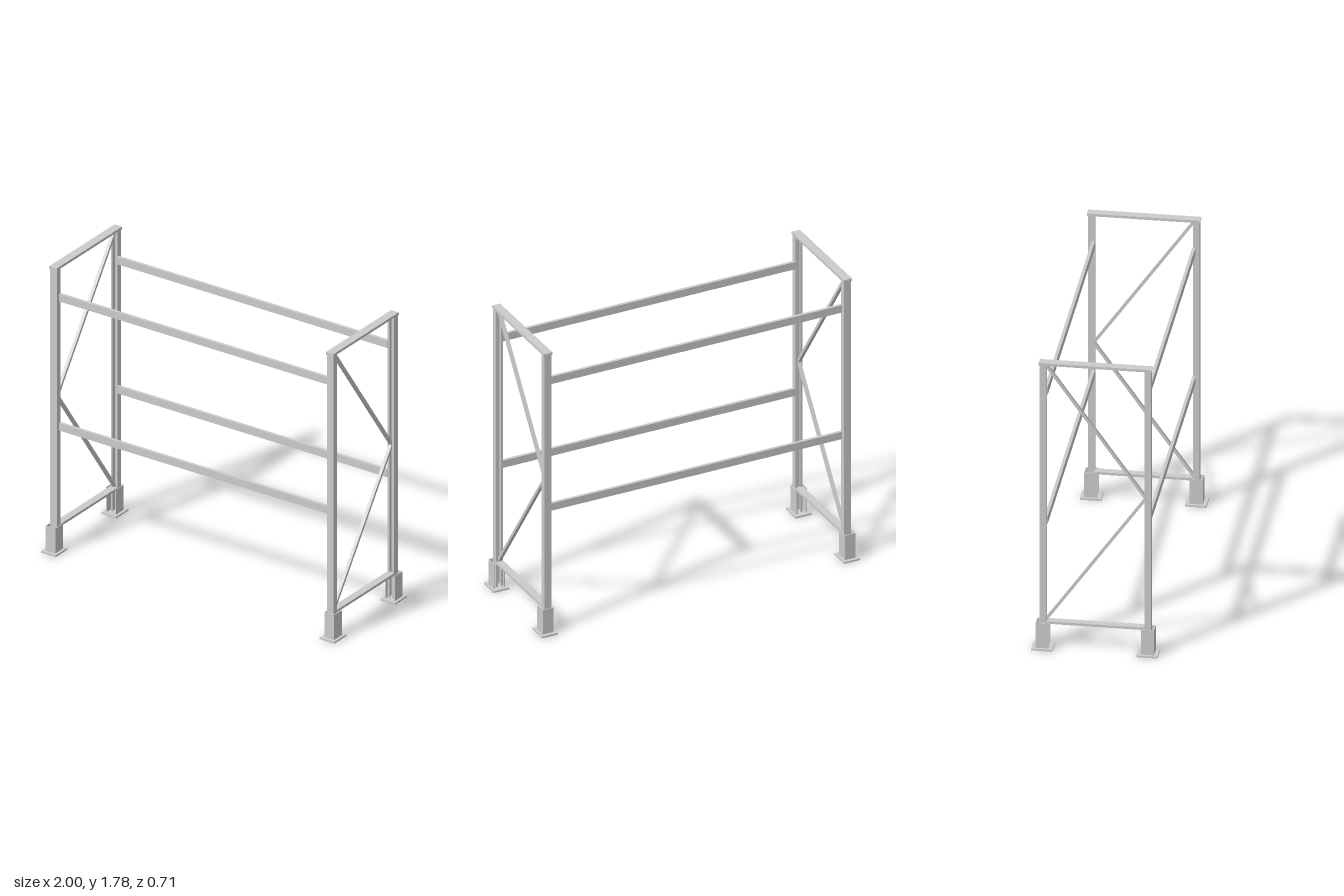
import * as THREE from 'three';

const STEEL = new THREE.MeshStandardMaterial({ color: 0xcccccc, flatShading: true });
const POST_X = 0.9425, POST_Z = 0.315;

function mesh(name, geometry, x = 0, y = 0, z = 0) {
  const m = new THREE.Mesh(geometry, STEEL);
  m.name = name;
  m.position.set(x, y, z);
  return m;
}

const box = (name, w, h, d, x, y, z) => mesh(name, new THREE.BoxGeometry(w, h, d), x, y, z);

// Channel section: web along y = 0, open toward +y, with optional inward lips
function channel(width, depth, t, lip, length) {
  const w = width / 2;
  const right = [[w, 0], [w, depth]];
  if (lip > 0) right.push([w - lip, depth], [w - lip, depth - t], [w - t, depth - t]);
  else right.push([w - t, depth]);
  right.push([w - t, t]);
  const left = right.map(([x, y]) => [-x, y]).reverse();
  const shape = new THREE.Shape([...right, ...left].map(([x, y]) => new THREE.Vector2(x, y)));
  return new THREE.ExtrudeGeometry(shape, { depth: length, bevelEnabled: false });
}

// Vertical channel whose web faces outward (side = sign of z)
function uprightChannel(width, depth, t, lip, y0, y1, side) {
  const g = channel(width, depth, t, lip, y1 - y0);
  g.rotateX(-Math.PI / 2); // section opens toward -z, length along +y
  if (side < 0) g.rotateY(Math.PI);
  return g.translate(0, y0, 0);
}

// Channel lying along z, web on top, open downward
function crossChannel(width, depth, length) {
  return channel(width, depth, 0.005, 0, length).translate(0, 0, -length / 2).rotateZ(Math.PI);
}

// Square bar between two points in the plane of an end frame
function brace(x, y0, z0, y1, z1) {
  const length = Math.hypot(y1 - y0, z1 - z0);
  const m = box('diagonalBrace', 0.02, length, 0.016, x, (y0 + y1) / 2, (z0 + z1) / 2);
  m.rotation.x = Math.atan2(z1 - z0, y1 - y0);
  return m;
}

function endFrame(sx) {
  const frame = new THREE.Group();
  frame.name = sx > 0 ? 'leftEndFrame' : 'rightEndFrame';
  const x = sx * POST_X;

  for (const sz of [1, -1]) {
    // Upright, foot guard and base plate
    frame.add(mesh('upright', uprightChannel(0.045, 0.037, 0.005, 0.013, 0.01, 1.775, sz), x, 0, sz * POST_Z));
    frame.add(mesh('footGuard', uprightChannel(0.067, 0.075, 0.005, 0, 0.01, 0.165, sz), sx * 0.95, 0, sz * 0.335));
    frame.add(box('basePlate', 0.1, 0.01, 0.12, sx * 0.95, 0.005, sz * 0.297));
  }

  // Top and bottom cross members
  frame.add(mesh('topCap', crossChannel(0.052, 0.015, 0.64), x, 1.785, 0));
  frame.add(mesh('bottomCrossMember', crossChannel(0.045, 0.015, 0.57), x, 0.17, 0));

  // Zigzag bracing, mirrored between the two ends
  const z = sx * 0.284;
  frame.add(brace(x, 0.17, z, 0.97, -z));
  frame.add(brace(x, 0.97, -z, 1.77, z));
  return frame;
}

export function createModel() {
  const model = new THREE.Group();
  model.name = 'storageRack';
  model.add(endFrame(1), endFrame(-1));

  // Long shelf beams, front and back at two levels
  for (const y of [0.783, 1.59])
    for (const sz of [1, -1])
      model.add(box(sz > 0 ? 'frontBeam' : 'backBeam', 1.842, 0.046, 0.018, 0, y, sz * 0.284));

  return model;
}
